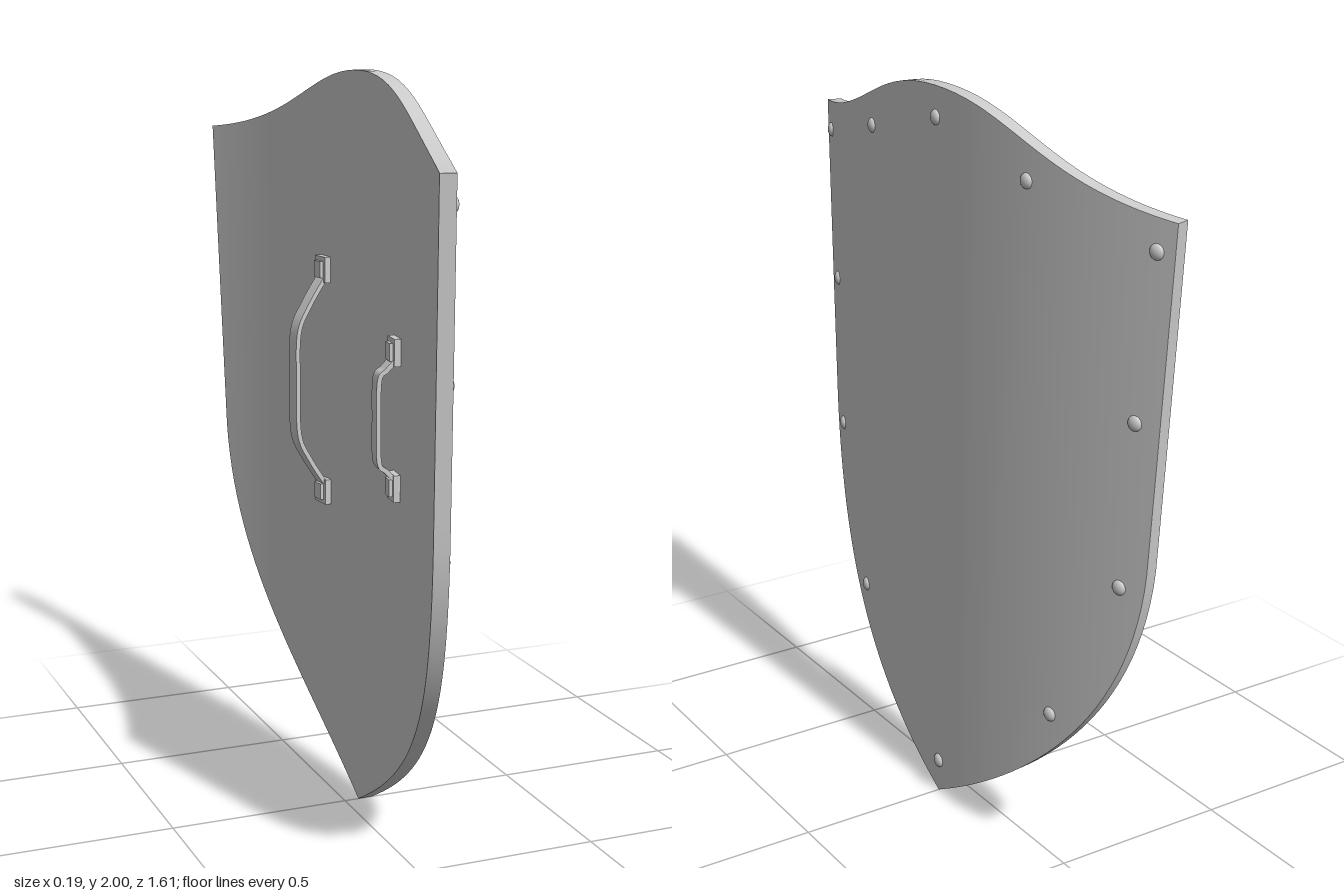
import * as THREE from 'three';
import { toCreasedNormals } from 'three/addons/utils/BufferGeometryUtils.js';

const R = 2.42, FRONT = 0.08, THICK = 0.04;
const material = new THREE.MeshStandardMaterial({ color: 0xcccccc });
const v2 = (x, y) => new THREE.Vector2(x, y);

// Point on the bowed board: s is the distance sideways, depth is measured inward
function onBoard(s, y, depth) {
  const a = Math.asin(s / R);
  return new THREE.Vector3(FRONT - R + (R - depth) * Math.cos(a), y, (R - depth) * Math.sin(a));
}

function addMesh(parent, geometry, name) {
  const mesh = new THREE.Mesh(geometry, material);
  mesh.name = name;
  parent.add(mesh);
  return mesh;
}

// Board: vertical columns across the width, each a closed four-corner section
function boardGeometry() {
  const top = new THREE.CubicBezierCurve(v2(0, 2), v2(0.31, 2), v2(0.4, 1.85), v2(0.805, 1.81)).getPoints(80);
  const point = new THREE.CubicBezierCurve(v2(0, 0), v2(0.42, 0.23), v2(0.72, 0.5), v2(0.757, 0.93)).getPoints(28);
  const side = new THREE.QuadraticBezierCurve(v2(0.757, 0.93), v2(0.778, 1.3), v2(0.805, 1.81)).getPoints(8);
  const bottom = [...point, ...side.slice(1)];
  const topAt = (s) => {
    const i = Math.max(1, top.findIndex((p) => p.x >= s - 1e-9));
    const a = top[i - 1], b = top[i];
    return a.y + (b.y - a.y) * (s - a.x) / (b.x - a.x);
  };
  const half = bottom.map((p) => [p.x, p.y, topAt(p.x)]);
  const columns = [...half.slice(1).reverse().map(([s, lo, hi]) => [-s, lo, hi]), ...half];
  const positions = [], index = [];
  columns.forEach(([s, lo, hi], i) => {
    for (const p of [onBoard(s, hi, 0), onBoard(s, lo, 0), onBoard(s, lo, THICK), onBoard(s, hi, THICK)]) {
      positions.push(p.x, p.y, p.z);
    }
    if (i === 0) return;
    for (let k = 0; k < 4; k++) {
      const n = (k + 1) % 4, a = (i - 1) * 4 + k, b = (i - 1) * 4 + n, c = i * 4 + n, d = i * 4 + k;
      index.push(a, d, c, a, c, b);
    }
  });
  const geometry = new THREE.BufferGeometry();
  geometry.setAttribute('position', new THREE.Float32BufferAttribute(positions, 3));
  geometry.setIndex(index);
  return toCreasedNormals(geometry, 0.6);
}

// Flat strap bent along a path (x is the distance from the board)
function strapGeometry(path, width, thick) {
  const curve = new THREE.SplineCurve(path.map(([x, y]) => v2(x, y)));
  const n = 36, outer = [], inner = [];
  for (let i = 0; i <= n; i++) {
    const p = curve.getPoint(i / n), t = curve.getTangent(i / n);
    const normal = v2(-t.y, t.x).multiplyScalar(thick / 2);
    outer.push(p.clone().add(normal));
    inner.unshift(p.clone().sub(normal));
  }
  const geometry = new THREE.ExtrudeGeometry(new THREE.Shape([...outer, ...inner]), { depth: width, bevelEnabled: false });
  geometry.translate(0, 0, -width / 2);
  return toCreasedNormals(geometry, 0.6);
}

// Handle: a strap held by a stepped mounting pad at each end
function makeHandle(name, s, midY, halfSpan, reach, bend) {
  const handle = new THREE.Group();
  handle.name = name;
  handle.position.copy(onBoard(s, midY, THICK));
  handle.rotation.y = Math.PI - Math.asin(s / R);
  const end = halfSpan - 0.02;
  const upper = [[0.01, end], [reach * 0.62, end - bend * 0.5], [reach * 0.97, end - bend]];
  const path = [...upper, [reach, 0], ...upper.map(([x, y]) => [x, -y]).reverse()];
  addMesh(handle, strapGeometry(path, 0.045, 0.012), 'strap');
  for (const sign of [1, -1]) {
    addMesh(handle, new THREE.BoxGeometry(0.02, 0.07, 0.06), 'mountingPad').position.set(0.008, sign * halfSpan, 0);
    addMesh(handle, new THREE.BoxGeometry(0.014, 0.045, 0.038), 'padBlock').position.set(0.02, sign * halfSpan, 0);
  }
  return handle;
}

export function createModel() {
  const model = new THREE.Group();
  model.name = 'shield';
  addMesh(model, boardGeometry(), 'board');

  // Domed rivets following the rim
  const rivet = new THREE.SphereGeometry(0.02, 18, 8, 0, Math.PI * 2, 0, Math.PI / 2);
  rivet.scale(1, 0.6, 1);
  rivet.rotateZ(-Math.PI / 2);
  const spots = [[0, 1.92], [0.363, 1.83], [0.753, 1.735], [0.71, 1.31], [0.68, 0.875], [0.47, 0.445], [0, 0.095]];
  for (const [s, y] of spots) {
    for (const side of s ? [s, -s] : [0]) {
      const mesh = addMesh(model, rivet, 'rivet');
      mesh.position.copy(onBoard(side, y, 0.001));
      mesh.rotation.y = -Math.asin(side / R);
    }
  }

  // Long arm loop and short hand grip on the hollow side
  model.add(makeHandle('armLoop', -0.218, 1.15, 0.31, 0.095, 0.15));
  model.add(makeHandle('handGrip', 0.305, 1.145, 0.175, 0.055, 0.05));
  return model;
}
